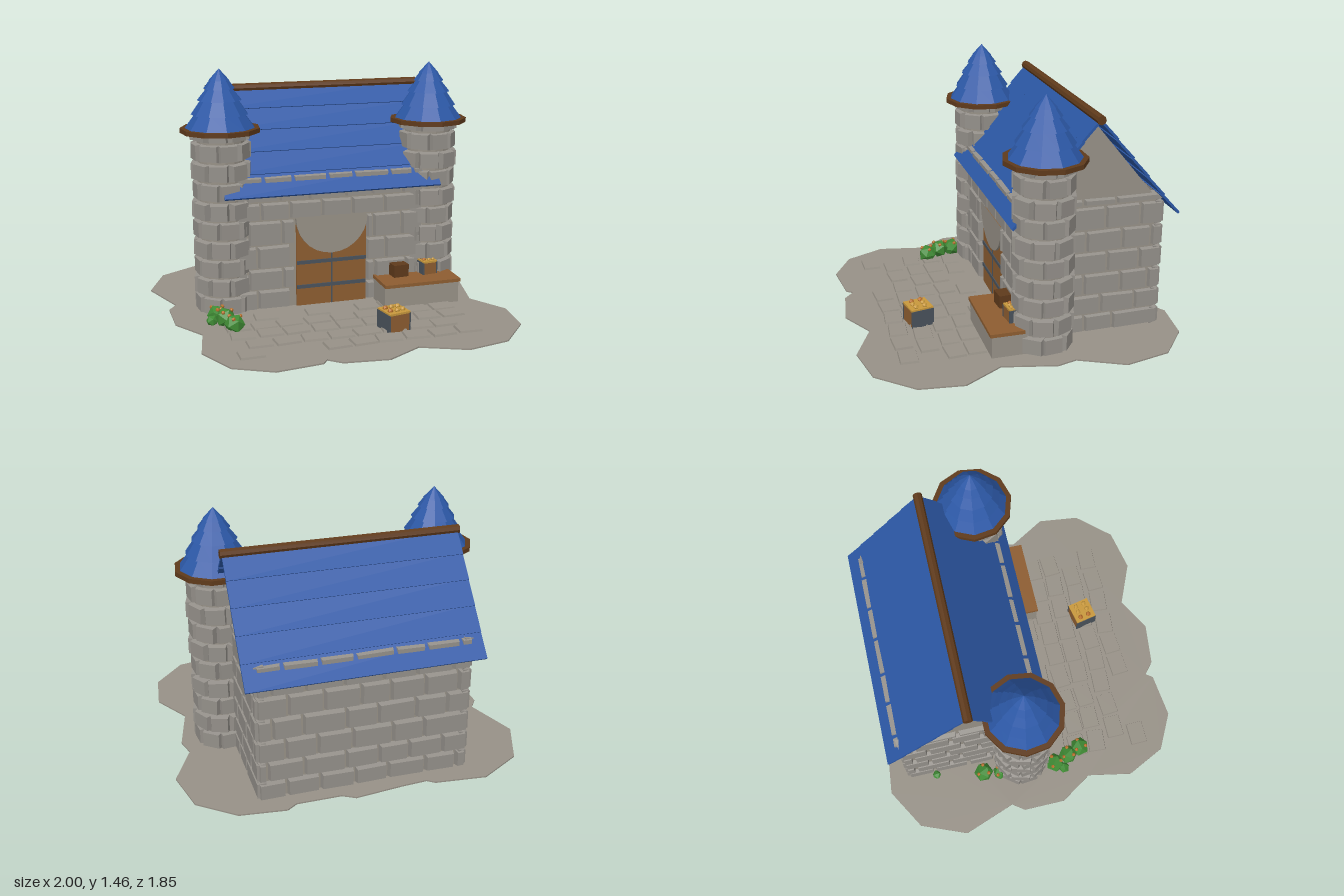
import * as THREE from 'three';
import { mergeGeometries } from 'three/addons/utils/BufferGeometryUtils.js';

const mat = (name, color, side = THREE.FrontSide) => {
  const m = new THREE.MeshStandardMaterial({ color, side });
  m.name = name;
  return m;
};

export function createModel() {
  const M = {
    stone: mat('stone', 0x94908a),
    ground: mat('ground', 0x979187),
    blue: mat('roofBlue', 0x2c58a6),
    darkWood: mat('darkWood', 0x5f3a1b),
    wood: mat('wood', 0x8d5d31),
    iron: mat('iron', 0x4a535c),
    gold: mat('gold', 0xc8983c),
    green: mat('leaf', 0x3f8a34),
    orange: mat('flower', 0xb8702c),
  };
  const root = new THREE.Group();
  root.name = 'castleShop';

  let seed = 7;
  const rnd = () => (seed = (seed * 16807) % 2147483647) / 2147483647;
  const jitter = (a) => (rnd() - 0.5) * 2 * a;

  // faceted normals
  const flat = (g) => {
    const f = g.index ? g.toNonIndexed() : g;
    f.computeVertexNormals();
    return f;
  };
  const add = (name, geo, m, x = 0, y = 0, z = 0, parent = root) => {
    const mesh = new THREE.Mesh(flat(geo), m);
    mesh.name = name;
    mesh.position.set(x, y, z);
    parent.add(mesh);
    return mesh;
  };
  const box = (name, w, h, d, m, x, y, z, parent) => add(name, new THREE.BoxGeometry(w, h, d), m, x, y, z, parent);

  // stone block whose outer (+z) face is chamfered in
  const block = (w, h, d, c = 0.01) => {
    const g = new THREE.BoxGeometry(w, h, d);
    const p = g.attributes.position;
    for (let i = 0; i < p.count; i++) {
      if (p.getZ(i) > 0) {
        p.setX(i, p.getX(i) * (1 - (2 * c) / w));
        p.setY(i, p.getY(i) * (1 - (2 * c) / h));
      }
    }
    return g.toNonIndexed();
  };

  // ground slab
  const outline = [
    [-1, -.52], [-.89, -.79], [-.65, -.93], [-.36, -.9], [-.32, -.87], [-.17, -.88], [.1, -.91], [.17, -.87],
    [.42, -.87], [.48, -.91], [.74, -.88], [.94, -.72], [1, -.46], [.88, -.21], [.91, -.1], [.84, .2],
    [.97, .42], [.94, .67], [.76, .87], [.51, .92], [.26, .81], [.06, .92], [-.19, .89], [-.26, .83],
    [-.29, .87], [-.55, .9], [-.76, .79], [-.87, .56], [-.82, .3], [-.94, .11], [-.94, -.14], [-.89, -.21],
  ];
  const slab = new THREE.ExtrudeGeometry(new THREE.Shape(outline.map(([x, z]) => new THREE.Vector2(x, -z))), { depth: 0.008, bevelEnabled: false });
  add('groundSlab', slab.rotateX(-Math.PI / 2), M.ground, 0, 0.034, 0);

  // paving stones, with a few missing
  const paving = [];
  [[.15, -.58, 7], [.28, -.62, 9], [.4, -.61, 9], [.53, -.55, 8], [.66, -.62, 9]].forEach(([z, x0, n], r) => {
    for (let i = 0; i < n; i++) {
      if ((r === 4 && (i === 1 || i === 2)) || (r === 0 && (i === 2 || i === 4))) continue;
      const g = block(0.138, 0.105, 0.014, 0.004);
      g.rotateX(-Math.PI / 2).rotateY(jitter(0.09)).translate(x0 + i * 0.154 + jitter(0.008), 0.047, z + jitter(0.006));
      paving.push(g);
    }
  });
  add('pavingStones', mergeGeometries(paving), M.ground);

  // house core with gables
  const gable = new THREE.Shape([[0, .04], [0, .8], [.385, 1.27], [.77, .8], [.77, .04]].reverse().map(([z, y]) => new THREE.Vector2(z, y)));
  const core = new THREE.ExtrudeGeometry(gable, { depth: 1.15, bevelEnabled: false });
  add('houseCore', core.rotateY(Math.PI / 2), M.ground, -0.56, 0, 0);

  // courses of blocks facing +z, then turned into place
  const wall = (name, len, rows, count, turn, x, z, opening) => {
    const parts = [];
    for (let r = 0; r < rows.length - 1; r++) {
      const y0 = rows[r], y1 = rows[r + 1], step = len / count;
      const cuts = [-len / 2];
      for (let i = 1; i <= count; i++) {
        const u = -len / 2 + (i - (r % 2 ? 0.65 : 0.25)) * step + jitter(step * 0.12);
        if (u < len / 2 - 0.06) cuts.push(u);
      }
      cuts.push(len / 2);
      for (let i = 0; i < cuts.length - 1; i++) {
        let a = cuts[i], b = cuts[i + 1];
        if (opening && y1 <= opening.top + 0.001) {
          if (a >= opening.left && b <= opening.right) continue;
          if (a < opening.left && b > opening.left) b = opening.left;
          else if (a < opening.right && b > opening.right) a = opening.right;
          if (b - a < 0.03) continue;
        }
        const g = block(b - a - 0.006, y1 - y0 - 0.006, 0.05 + jitter(0.004));
        g.rotateZ(jitter(0.02)).translate((a + b) / 2, (y0 + y1) / 2, -0.025);
        parts.push(g);
      }
    }
    add(name, mergeGeometries(parts), M.stone, x, 0, z).rotation.y = turn;
  };
  const rows = [.04, .15, .27, .4, .53, .66, .8, .85];
  wall('rightWall', 0.83, rows, 4, Math.PI / 2, 0.615, -0.385);
  wall('leftWall', 0.83, rows, 4, -Math.PI / 2, -0.585, -0.385);
  wall('backWall', 1.19, rows, 6, Math.PI, 0.015, -0.805);
  wall('frontWall', 1.15, [.04, .16, .29, .43, .58, .69, .79, .85], 6, 0, 0.015, 0.035, { left: -.225, right: .215, top: .58 });

  // double door with iron bands
  for (const s of [-1, 1]) box('doorLeaf', 0.214, 0.5, 0.02, M.wood, 0.015 + s * 0.109, 0.29, 0.006);
  for (const y of [0.16, 0.31]) box('doorBand', 0.43, 0.022, 0.008, M.iron, 0.015, y, 0.018);
  box('doorSeam', 0.008, 0.46, 0.006, M.iron, 0.015, 0.27, 0.016);
  // half-round stone infill hanging over the door
  const disc = new THREE.CylinderGeometry(0.22, 0.22, 0.03, 14, 1, false, -Math.PI / 2, Math.PI);
  add('doorInfill', disc.rotateX(Math.PI / 2), M.ground, 0.015, 0.58, 0.015);

  // roof: overlapping boards on both slopes, and ridge pole
  for (const side of [0, 1]) {
    const slope = new THREE.Group();
    slope.name = side ? 'backRoof' : 'frontRoof';
    slope.position.set(0.02, 1.308, -0.385);
    slope.rotation.set(0.876, side * Math.PI, 0, 'YXZ');
    for (let i = 0; i < 5; i++) {
      const b = box('roofBoard', 1.31, 0.014, 0.157, M.blue, 0, 0, (i + 0.5) * 0.147, slope);
      b.rotation.x = -0.04;
    }
    root.add(slope);
  }
  add('ridgePole', new THREE.CylinderGeometry(0.026, 0.026, 1.33, 8).rotateZ(Math.PI / 2), M.darkWood, 0.02, 1.307, -0.385);

  // round towers with tiered cone roofs
  const tower = (name, x) => {
    const t = new THREE.Group();
    t.name = name;
    t.position.set(x, 0, -0.088);
    add('towerCore', new THREE.CylinderGeometry(0.138, 0.138, 1.06, 16), M.ground, 0, 0.57, 0, t);
    const parts = [], h = 1.07 / 9.5;
    for (let r = 0; r < 10; r++) {
      const hh = r === 9 ? h / 2 : h;
      for (let k = 0; k < 8; k++) {
        const g = block(0.122 + jitter(0.008), hh - 0.005, 0.055);
        g.rotateZ(jitter(0.03)).translate(0, 0.04 + r * h + hh / 2, 0.134 + (r % 2) * 0.006 + jitter(0.004));
        g.rotateY(((k + (r % 2) * 0.5 + 0.15) / 8) * Math.PI * 2 + jitter(0.03));
        parts.push(g);
      }
    }
    add('towerBlocks', mergeGeometries(parts), M.stone, 0, 0, 0, t);
    add('towerEave', new THREE.CylinderGeometry(0.23, 0.23, 0.026, 11), M.darkWood, 0, 1.115, 0, t);
    const profile = [[0, 1.12], [.207, 1.12], [.14, 1.21], [.164, 1.205], [.105, 1.29], [.127, 1.285], [.07, 1.355], [.09, 1.35], [.045, 1.41], [.06, 1.395], [0, 1.462]];
    add('towerRoof', new THREE.LatheGeometry(profile.map(([r, y]) => new THREE.Vector2(r, y)), 11), M.blue, 0, 0, 0, t);
    root.add(t);
  };
  tower('rightTower', -0.618);
  tower('leftTower', 0.655);

  // stall counter
  box('counterBase', 0.47, 0.13, 0.2, M.ground, 0.515, 0.105, 0.125);
  box('counterTop', 0.48, 0.02, 0.22, M.wood, 0.52, 0.18, 0.125);

  // crates with iron sides, some filled with gold goods
  const crate = (x, y, z, w, h, turn, filled, m = M.wood) => {
    const c = new THREE.Group();
    c.name = 'crate';
    c.position.set(x, y, z);
    c.rotation.y = turn;
    box('crateBody', w, h, w, m, 0, h / 2, 0, c);
    if (filled) {
      for (const s of [-1, 1]) box('crateSide', 0.008, h * 0.98, w * 1.04, M.iron, s * w / 2, h / 2, 0, c);
      box('goods', w * 1.02, 0.012, w * 1.02, M.gold, 0, h + 0.002, 0, c);
      for (let i = 0; i < 6; i++) {
        const lump = new THREE.IcosahedronGeometry(w * 0.13, 0);
        add('goodsLump', lump, i % 3 ? M.gold : M.orange, ((i % 3) - 1) * w * 0.3, h + 0.012, (i < 3 ? -1 : 1) * w * 0.24 + jitter(0.01), c);
      }
    }
    root.add(c);
  };
  crate(0.225, 0.036, 0.52, 0.13, 0.11, 0.2, true);
  crate(0.425, 0.19, 0.06, 0.095, 0.075, 0.08, false, M.darkWood);
  crate(0.61, 0.19, 0.06, 0.09, 0.075, 0.12, true);

  // bushes with flowers, and low tufts along the base
  const bush = (x, z, r, y) => {
    const b = new THREE.Group();
    b.name = 'bush';
    b.position.set(x, y, z);
    b.rotation.y = rnd() * 3;
    add('leaves', new THREE.IcosahedronGeometry(r, 0), M.green, 0, 0, 0, b);
    if (r > 0.045) {
      for (let i = 0; i < 3; i++) {
        const a = i * 2.1;
        add('flower', new THREE.IcosahedronGeometry(0.012, 0), M.orange, Math.cos(a) * r * 0.6, r * 0.7, Math.sin(a) * r * 0.6, b);
      }
    }
    root.add(b);
  };
  [[-.635, .285], [-.67, .2], [-.7, .11], [-.66, -.34]].forEach(([x, z], i) => bush(x, z, 0.06, 0.075 + (i % 2) * 0.012));
  bush(-0.74, 0.16, 0.035, 0.06);
  bush(-0.68, -0.24, 0.046, 0.07);
  [[-.6, -.63], [-.25, -.6], [-.02, -.5], [.06, -.28], [.42, -.34], [.58, .05]].forEach(([x, z]) => bush(x, z, 0.032, 0.03));

  return root;
}
